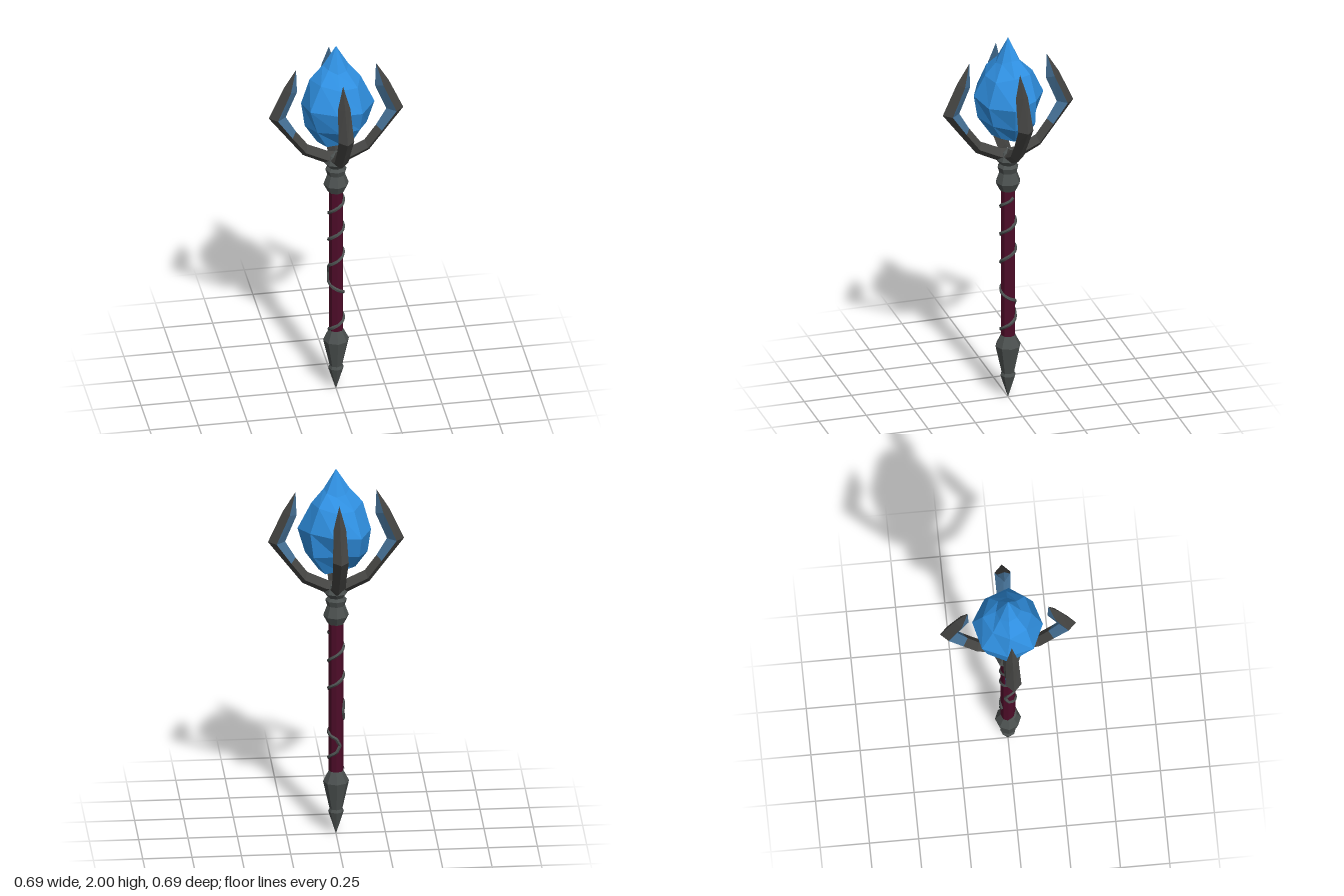
import * as THREE from 'three';

const material = (name, color) => {
  const m = new THREE.MeshStandardMaterial({ color, flatShading: true });
  m.name = name;
  return m;
};

// Faceted turned part from [radius, y] pairs, listed bottom to top
function turned(name, profile, sides, mat) {
  const points = profile.map(([r, y]) => new THREE.Vector2(r, y));
  const mesh = new THREE.Mesh(new THREE.LatheGeometry(points, sides), mat);
  mesh.name = name;
  return mesh;
}

// Diamond-section claw: each station is [outerX, outerY, innerX, innerY, halfWidth]
function clawGeometry() {
  const stations = [
    [0.01, 1.32, 0.01, 1.385, 0.033],
    [0.06, 1.325, 0.04, 1.39, 0.033],
    [0.17, 1.38, 0.146, 1.44, 0.036],
    [0.25, 1.485, 0.205, 1.52, 0.036],
    [0.345, 1.61, 0.258, 1.61, 0.04],
    [0.27, 1.775, 0.2, 1.75, 0.032],
    [0.205, 1.88, 0.205, 1.88, 0],
  ];
  const rings = stations.map(([ox, oy, ix, iy, w]) => {
    const mx = ox + (ix - ox) * 0.47, my = oy + (iy - oy) * 0.47;
    return [[ox, oy, 0], [mx, my, w], [ix, iy, 0], [mx, my, -w]];
  });
  const outside = [], inside = [];
  for (let k = 0; k < rings.length - 1; k++) {
    for (let s = 0; s < 4; s++) {
      const t = (s + 1) % 4;
      const a = rings[k][s], b = rings[k][t], c = rings[k + 1][s], d = rings[k + 1][t];
      const list = k >= 3 && (s === 1 || s === 2) ? inside : outside;
      list.push(...a, ...c, ...b);
      if (k < rings.length - 2) list.push(...b, ...c, ...d);
    }
  }
  const geo = new THREE.BufferGeometry();
  geo.setAttribute('position', new THREE.Float32BufferAttribute([...outside, ...inside], 3));
  geo.addGroup(0, outside.length / 3, 0);
  geo.addGroup(outside.length / 3, inside.length / 3, 1);
  geo.computeVertexNormals();
  return geo;
}

// Teardrop crystal: a lathe with gently uneven rings
function crystal(mat) {
  const mesh = turned('crystal', [
    [0, 1.44], [0.095, 1.465], [0.158, 1.56], [0.186, 1.68],
    [0.13, 1.81], [0.066, 1.88], [0, 2],
  ], 8, mat);
  const p = mesh.geometry.attributes.position;
  for (let i = 0; i < p.count; i++) {
    const x = p.getX(i), y = p.getY(i), z = p.getZ(i);
    const r = Math.hypot(x, z);
    if (r < 0.001) continue;
    const a = Math.atan2(x, z);
    const k = 1 + 0.05 * Math.sin(3 * a + 17 * y);
    const turn = a + 0.12 * Math.sin(40 * y);
    p.setXYZ(i, Math.sin(turn) * r * k, y + 0.014 * Math.sin(2 * a + 9 * y), Math.cos(turn) * r * k * 0.96);
  }
  mesh.geometry.computeVertexNormals();
  return mesh;
}

// Vine wound around the shaft: [quarter turns, y], reversing partway down
function vine(mat) {
  const steps = [
    [1.3, 1.12], [1, 1.105], [0, 1.07], [-1, 1.03], [-2, 0.99], [-3, 0.95], [-4, 0.915],
    [-5, 0.875], [-6, 0.835], [-7, 0.8], [-8, 0.76], [-9, 0.72], [-9.3, 0.675],
    [-9, 0.63], [-8, 0.595], [-7, 0.56], [-6, 0.53], [-5.7, 0.495], [-6, 0.46],
    [-7, 0.42], [-8, 0.385], [-9, 0.35],
  ];
  const points = [];
  steps.forEach(([q, y], i) => {
    const [q2, y2] = steps[Math.min(i + 1, steps.length - 1)];
    for (const f of [0, 0.5]) {
      const a = (q + (q2 - q) * f) * Math.PI / 2;
      if (f && i === steps.length - 1) continue;
      points.push(new THREE.Vector3(Math.sin(a) * 0.037, y + (y2 - y) * f, Math.cos(a) * 0.037));
    }
  });
  const curve = new THREE.CatmullRomCurve3(points);
  const mesh = new THREE.Mesh(new THREE.TubeGeometry(curve, 160, 0.009, 5), mat);
  mesh.name = 'vine';
  return mesh;
}

export function createModel() {
  const iron = material('iron', 0x4b504f);
  const darkIron = material('dark iron', 0x444442);
  const wood = material('maroon grip', 0x4d0c28);
  const blue = material('crystal blue', 0x2f8fe0);
  const slate = material('slate blue', 0x446f94);

  const model = new THREE.Group();
  model.name = 'staff';

  // Shaft with its winding and end fittings
  model.add(turned('shaft', [[0.037, 0.32], [0.037, 1.18]], 8, wood));
  model.add(vine(iron));
  model.add(turned('pommel', [
    [0, 0], [0.04, 0.125], [0.033, 0.14], [0.066, 0.29], [0.036, 0.35], [0, 0.35],
  ], 8, iron));
  model.add(turned('collar', [
    [0, 1.155], [0.042, 1.155], [0.065, 1.2], [0.045, 1.255], [0.055, 1.285],
    [0.042, 1.3], [0.06, 1.325], [0.04, 1.37], [0, 1.385],
  ], 8, iron));

  // Four claws around the crystal
  const claw = clawGeometry();
  for (let i = 0; i < 4; i++) {
    const mesh = new THREE.Mesh(claw, [darkIron, slate]);
    mesh.name = 'claw' + (i + 1);
    mesh.rotation.y = i * Math.PI / 2;
    model.add(mesh);
  }
  model.add(crystal(blue));
  return model;
}
